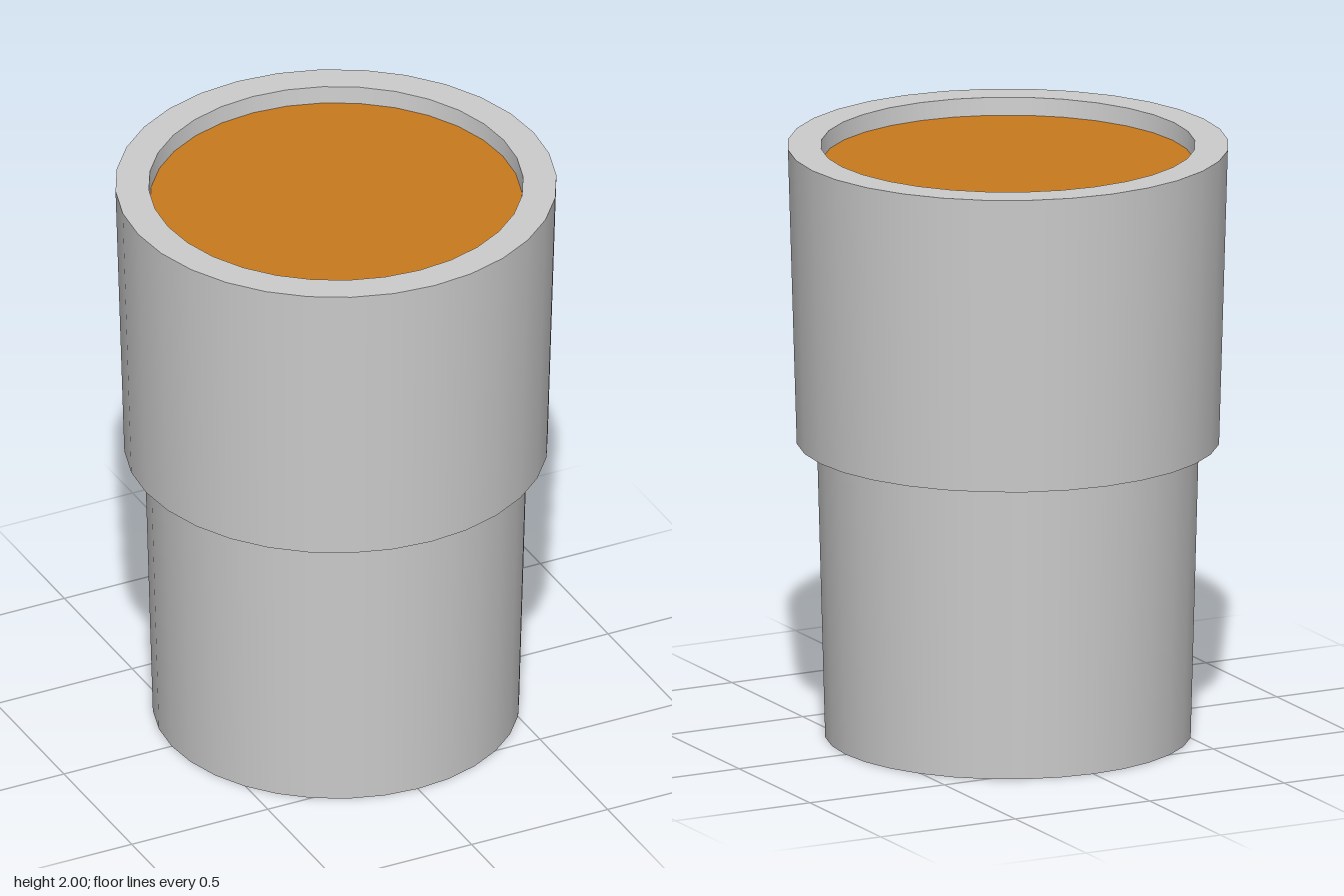
import * as THREE from 'three';
import { mergeGeometries } from 'three/addons/utils/BufferGeometryUtils.js';

const SIDES = 32;

// Revolves each profile segment on its own, so edges between bands stay sharp
function revolve(profile) {
  const bands = [];
  for (let i = 0; i < profile.length - 1; i++) {
    const pair = [profile[i], profile[i + 1]].map(([r, y]) => new THREE.Vector2(r, y));
    bands.push(new THREE.LatheGeometry(pair, SIDES));
  }
  return mergeGeometries(bands);
}

function addPart(group, name, profile, color) {
  const mesh = new THREE.Mesh(revolve(profile), new THREE.MeshStandardMaterial({ color }));
  mesh.name = name;
  group.add(mesh);
}

export function createModel() {
  const group = new THREE.Group();
  group.name = 'cup';

  const liquidY = 1.94;
  const liquidR = 0.613;

  // Tapered lower cup with a closed base
  addPart(group, 'lowerCup', [[0, 0], [0.604, 0], [0.631, 1]], 0xcccccc);

  // Wider upper section: step underside, outer wall, flat rim, inner wall
  addPart(group, 'upperCup', [
    [0.631, 1], [0.698, 1], [0.727, 2], [0.617, 2], [liquidR, liquidY],
  ], 0xcccccc);

  // Drink surface just below the rim
  addPart(group, 'drink', [[liquidR, liquidY], [0, liquidY]], 0xc87a1e);

  return group;
}
